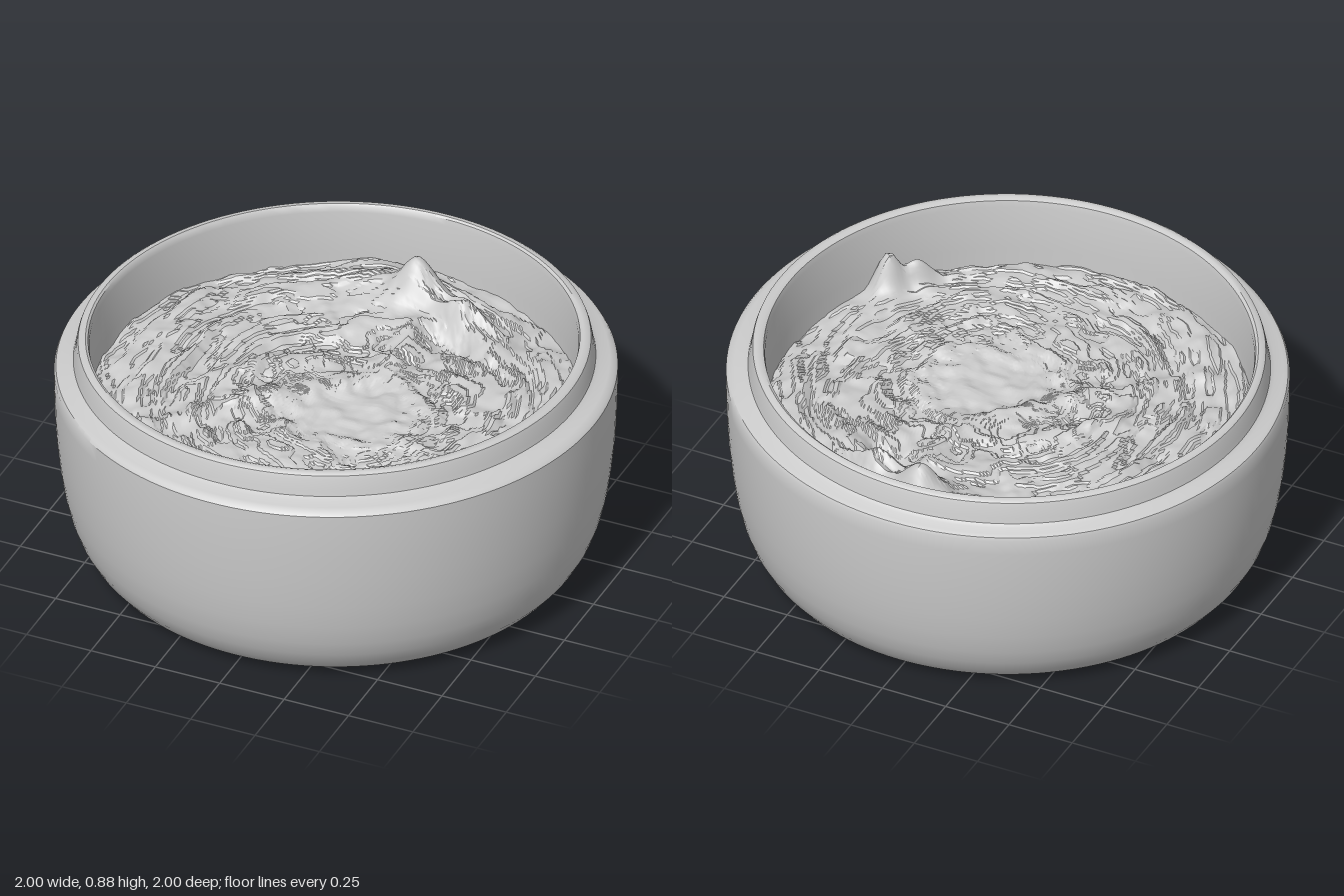
import * as THREE from 'three';
import { toCreasedNormals } from 'three/addons/utils/BufferGeometryUtils.js';

const { lerp, smoothstep, clamp } = THREE.MathUtils;
const material = () => new THREE.MeshStandardMaterial({ color: 0xcccccc, roughness: 0.8 });
const lathe = (points, segments) =>
  new THREE.LatheGeometry(points.map(([r, y]) => new THREE.Vector2(r, y)), segments);

// Move every vertex of a geometry by a rule
function deform(geometry, rule) {
  const pos = geometry.attributes.position;
  const p = new THREE.Vector3();
  for (let i = 0; i < pos.count; i++) {
    rule(p.fromBufferAttribute(pos, i));
    pos.setXYZ(i, p.x, p.y, p.z);
  }
  return geometry;
}

// Smooth seeded value noise, optionally repeating along v
function hash(i, j) {
  let n = Math.imul(i + 101, 374761393) ^ Math.imul(j + 57, 668265263);
  n = Math.imul(n ^ (n >>> 13), 1274126177);
  return ((n ^ (n >>> 16)) >>> 0) / 4294967295;
}
function noise(u, v, period = 4096) {
  const i = Math.floor(u), j = Math.floor(v);
  const s = smoothstep(u - i, 0, 1), t = smoothstep(v - j, 0, 1);
  const w = (k) => ((k % period) + period) % period;
  const a = lerp(hash(i, w(j)), hash(i + 1, w(j)), s);
  const b = lerp(hash(i, w(j + 1)), hash(i + 1, w(j + 1)), s);
  return lerp(a, b, t) * 2 - 1;
}

// Peaks and hollows: x, z, size, height
const bumps = [
  [0.01, -0.69, 0.08, 0.08], [-0.12, -0.7, 0.12, 0.05], [0.2, -0.46, 0.1, -0.04],
  [0.69, 0.43, 0.05, 0.15], [0.62, 0.51, 0.06, 0.08],
];
// Ridges left by the spatula: start x, z, end x, z, width, height
const ridges = [
  [0, -0.69, 0.22, -0.6, 0.07, 0.06], [0.22, -0.6, 0.42, -0.47, 0.07, 0.05],
  [0.08, -0.52, 0.1, -0.3, 0.05, 0.03], [0.1, -0.22, -0.2, 0.1, 0.05, 0.02],
  [-0.2, 0.1, -0.55, 0.44, 0.05, 0.02], [-0.15, -0.22, -0.4, 0.05, 0.05, 0.02],
  [0.55, -0.5, 0.62, -0.2, 0.05, 0.02], [-0.55, 0.45, -0.4, 0.7, 0.05, 0.02],
];

// Height of the whipped contents at a point
function creamHeight(x, z) {
  const dx = x - 0.08, dz = z - 0.05;
  const d = Math.hypot(dx, dz);
  const turn = Math.atan2(dz, dx) / (2 * Math.PI) + 0.5;
  const warp = noise(x * 4, z * 4) * 1.2;
  // Stepped strokes give the torn, flaky edges
  const strokes = Math.round(noise(d * 26 + warp, turn * 26, 26) * 2.5) / 2.5;
  const broad = noise(d * 8 + 9, turn * 9, 9);
  let y = 0.607 + noise(x * 3 + 20, z * 3 + 20) * 0.01;
  y += (strokes * 0.018 + broad * 0.012) * smoothstep(d, 0.05, 0.4);
  y += noise(x * 12 + 40, z * 12 + 40) * 0.009 + noise(x * 26 + 70, z * 26 + 70) * 0.006;
  for (const [cx, cz, size, height] of bumps) {
    y += height * Math.exp(-((x - cx) ** 2 + (z - cz) ** 2) / (size * size));
  }
  for (const [ax, az, bx, bz, width, height] of ridges) {
    const ex = bx - ax, ez = bz - az;
    const t = clamp(((x - ax) * ex + (z - az) * ez) / (ex * ex + ez * ez), 0, 1);
    const gap = Math.hypot(x - ax - ex * t, z - az - ez * t);
    y += height * Math.exp(-((gap / width) ** 2));
  }
  return y - 0.01 * smoothstep(Math.hypot(x, z), 0.78, 0.87);
}

export function createModel() {
  const model = new THREE.Group();
  model.name = 'openJarOfCream';

  // Jar: base, rounded wall, shoulder, neck, lip and inside wall, slightly tilted at the top
  const profile = [
    [0, 0], [0.5, 0.007], [0.8, 0.018], [0.845, 0.025], [0.868, 0.04], [0.9, 0.08],
    [0.927, 0.13], [0.948, 0.19], [0.966, 0.27], [0.979, 0.36], [0.99, 0.47], [0.996, 0.58],
    [0.999, 0.68], [0.998, 0.738], [0.99, 0.75], [0.972, 0.757], [0.94, 0.762], [0.925, 0.771],
    [0.921, 0.79], [0.913, 0.833], [0.908, 0.847], [0.898, 0.854], [0.882, 0.855], [0.871, 0.848],
    [0.866, 0.825], [0.864, 0.65], [0.86, 0.5],
  ];
  const jarGeometry = deform(lathe(profile, 128), (p) => {
    const lean = smoothstep(p.y, 0.2, 0.75);
    const neck = smoothstep(p.y, 0.74, 0.77);
    const inside = Math.hypot(p.x, p.z) < 0.88 && p.y > 0.45;
    const shift = inside ? 0.014 : 0.01 * neck;
    p.y += 0.021 * lean * (p.x + p.z);
    p.x -= shift;
    p.z -= shift;
  });
  const jar = new THREE.Mesh(toCreasedNormals(jarGeometry, 0.6), material());
  jar.name = 'jar';
  model.add(jar);

  // Cream: a fine round sheet running from the wall to the middle
  const rings = 120;
  const sheet = Array.from({ length: rings + 1 }, (_, i) => [0.866 * (1 - i / rings), 0]);
  const creamGeometry = deform(lathe(sheet, 280), (p) => {
    p.x -= 0.014;
    p.z -= 0.014;
    p.y = creamHeight(p.x, p.z);
  });
  const cream = new THREE.Mesh(toCreasedNormals(creamGeometry, 0.6), material());
  cream.name = 'cream';
  model.add(cream);

  return model;
}
